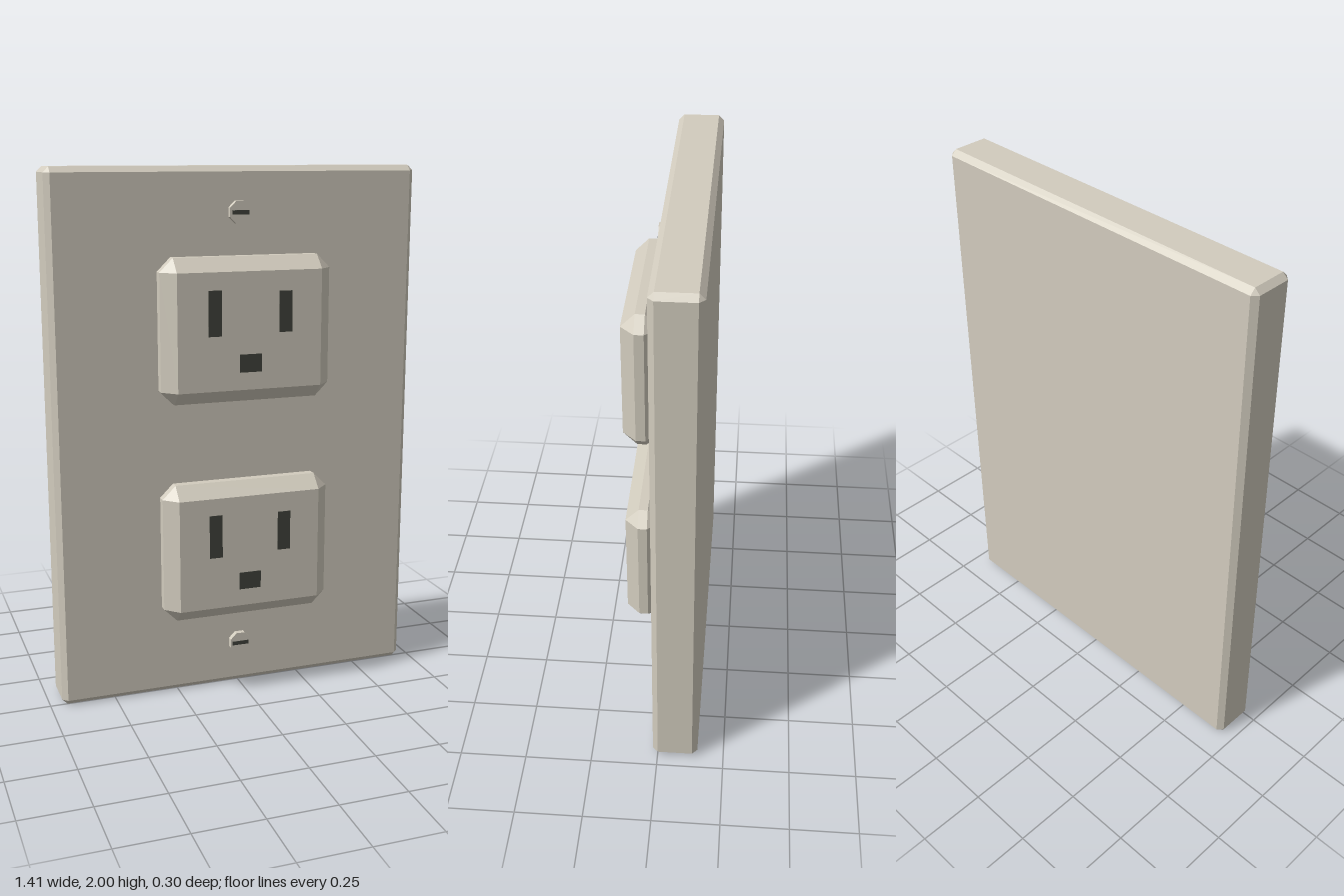
import * as THREE from 'three';
import { ConvexGeometry } from 'three/addons/geometries/ConvexGeometry.js';

const ivory = new THREE.MeshStandardMaterial({ color: 0xd2ccbe });
ivory.name = 'ivory plastic';
const dark = new THREE.MeshStandardMaterial({ color: 0x40423c });
dark.name = 'dark slot';

// Box with every edge cut flat by c
function chamferBox(w, h, d, c) {
  const points = [];
  for (const x of [-w / 2, w / 2]) for (const y of [-h / 2, h / 2]) for (const z of [-d / 2, d / 2]) {
    const sx = Math.sign(x) * c, sy = Math.sign(y) * c, sz = Math.sign(z) * c;
    points.push(
      new THREE.Vector3(x, y - sy, z - sz),
      new THREE.Vector3(x - sx, y, z - sz),
      new THREE.Vector3(x - sx, y - sy, z)
    );
  }
  return new ConvexGeometry(points);
}

function add(parent, name, geometry, material, x, y, z) {
  const mesh = new THREE.Mesh(geometry, material);
  mesh.name = name;
  mesh.position.set(x, y, z);
  parent.add(mesh);
  return mesh;
}

function createOutlet(name, y) {
  const outlet = new THREE.Group();
  outlet.name = name;
  outlet.position.y = y;
  add(outlet, 'outletBody', chamferBox(0.65, 0.53, 0.134, 0.05), ivory, 0, 0, 0.083);
  // Blade and ground openings
  const slots = [
    ['rightSlot', -0.135, 0.068, 0.05, 0.165],
    ['leftSlot', 0.135, 0.066, 0.05, 0.15],
    ['groundSlot', 0, -0.117, 0.084, 0.066]
  ];
  for (const [slotName, x, sy, w, h] of slots) {
    add(outlet, slotName, new THREE.BoxGeometry(w, h, 0.004), dark, x, sy, 0.15);
  }
  return outlet;
}

function createScrew(name, y) {
  const screw = new THREE.Group();
  screw.name = name;
  screw.position.y = y;
  // Eight-sided head turned to face forward
  const head = new THREE.CylinderGeometry(0.044, 0.044, 0.03, 8).toNonIndexed();
  head.computeVertexNormals();
  head.rotateY(Math.PI / 8);
  head.rotateX(Math.PI / 2);
  add(screw, 'screwHead', head, ivory, 0, 0, 0.026);
  add(screw, 'screwSlot', new THREE.BoxGeometry(0.066, 0.015, 0.004), dark, 0, 0, 0.041);
  return screw;
}

export function createModel() {
  const model = new THREE.Group();
  model.name = 'wallOutlet';
  add(model, 'coverPlate', chamferBox(1.41, 2, 0.17, 0.02), ivory, 0, 1, -0.066);
  model.add(createOutlet('upperOutlet', 1.42), createOutlet('lowerOutlet', 0.587));
  model.add(createScrew('upperScrew', 1.836), createScrew('lowerScrew', 0.17));
  return model;
}
